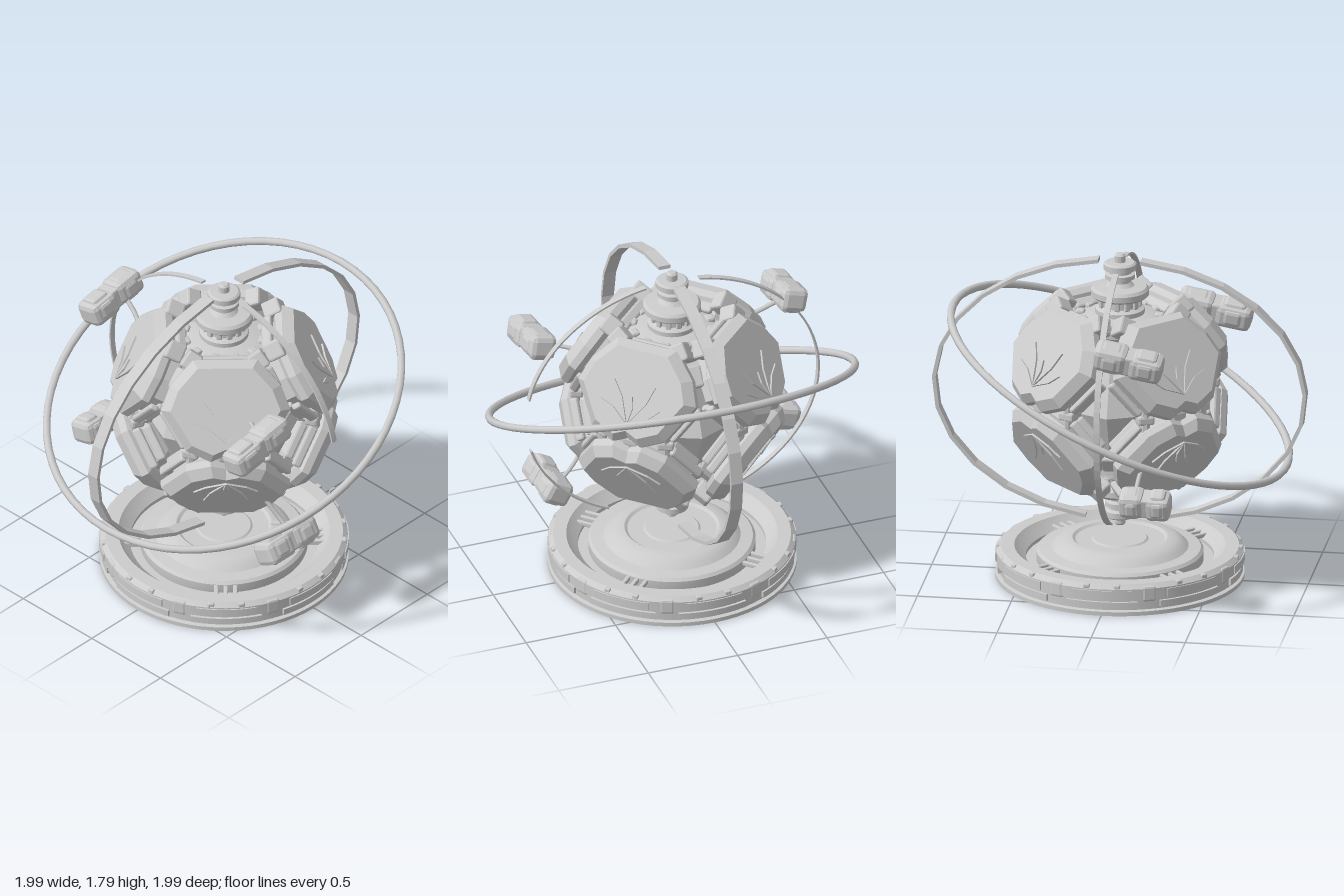
import * as THREE from 'three';
import { toCreasedNormals } from 'three/addons/utils/BufferGeometryUtils.js';
import { RoundedBoxGeometry } from 'three/addons/geometries/RoundedBoxGeometry.js';

const smooth = new THREE.MeshStandardMaterial({ color: 0xcccccc });
const faceted = new THREE.MeshStandardMaterial({ color: 0xcccccc, flatShading: true });
const rad = THREE.MathUtils.degToRad;
const CENTRE = 1.035;

function add(parent, name, geometry, pos = [0, 0, 0], rot = [0, 0, 0], material = faceted) {
  const mesh = new THREE.Mesh(geometry, material);
  mesh.name = name;
  mesh.position.set(...pos);
  mesh.rotation.set(...rot);
  parent.add(mesh);
  return mesh;
}

function group(parent, name, pos = [0, 0, 0], rot = [0, 0, 0]) {
  const g = new THREE.Group();
  g.name = name;
  g.position.set(...pos);
  g.rotation.set(...rot, 'YXZ');
  parent.add(g);
  return g;
}

const box = (x, y, z, r = 0.012) => new RoundedBoxGeometry(x, y, z, 1, r);

const lathe = (points, segments = 48) => toCreasedNormals(
  new THREE.LatheGeometry(points.map(p => new THREE.Vector2(...p)), segments), 0.5);

// Solid elliptical arc in the XY plane, centred in depth
function arcSolid(rx, ry, thick, a0, a1, depth, segments) {
  const s = new THREE.Shape();
  s.absellipse(0, 0, rx, ry, rad(a0), rad(a1), false);
  s.absellipse(0, 0, rx - thick, ry - thick, rad(a1), rad(a0), true);
  const g = new THREE.ExtrudeGeometry(s, { depth, bevelEnabled: false, curveSegments: segments });
  return g.translate(0, 0, -depth / 2);
}

// Closed solid through scaled copies of an outline, each layer [scale, z]
function loft(outline, layers) {
  const pos = [], idx = [], n = outline.length;
  for (const [s, z] of layers) for (const [x, y] of outline) pos.push(x * s, y * s, z);
  for (let l = 0; l < layers.length - 1; l++)
    for (let i = 0; i < n; i++) {
      const a = l * n + i, b = l * n + (i + 1) % n;
      idx.push(a, b, b + n, a, b + n, a + n);
    }
  const back = pos.length / 3, front = back + 1;
  pos.push(0, 0, layers[0][1], 0, 0, layers[layers.length - 1][1]);
  for (let i = 0; i < n; i++) {
    const j = (i + 1) % n, t = (layers.length - 1) * n;
    idx.push(back, j, i, front, t + i, t + j);
  }
  const g = new THREE.BufferGeometry();
  g.setAttribute('position', new THREE.Float32BufferAttribute(pos, 3));
  g.setIndex(idx);
  const flat = g.toNonIndexed();
  flat.computeVertexNormals();
  return flat;
}

// Armour plate facing local +z, its lower edge towards the equator
function buildPlate(parent, azimuth) {
  const p = group(parent, 'armourPlate', [0, 0, 0], [-rad(30), azimuth, 0]);
  const half = [[0, -0.24], [0.08, -0.275], [0.21, -0.215], [0.34, 0.0], [0.29, 0.13], [0.17, 0.265]];
  const outline = [...half, ...half.slice(1).reverse().map(([x, y]) => [-x, y])];
  add(p, 'plateShell', loft(outline, [[0.9, 0.44], [1, 0.465], [1, 0.505], [0.85, 0.555]]));
  add(p, 'plateBacking', loft(outline, [[0.62, 0.34], [0.8, 0.37], [0.8, 0.44]]));
  // Leaf-like relief fanning out from the equator edge
  for (const [angle, length] of [[0, 0.15], [28, 0.25], [-28, 0.25], [58, 0.2], [-58, 0.2]]) {
    const s = new THREE.Shape([[0, 0], [0.016, length * 0.6], [0, length], [-0.016, length * 0.6]]
      .map(v => new THREE.Vector2(...v)));
    add(p, 'reliefVein', new THREE.ExtrudeGeometry(s, { depth: 0.012, bevelEnabled: false }),
      [0, -0.17, 0.553], [0, 0, rad(angle)]);
  }
  // Brackets and side rails around the plate
  add(p, 'poleRail', box(0.26, 0.04, 0.06), [0, 0.255, 0.41]);
  for (const s of [-1, 1]) {
    add(p, 'cornerClaw', box(0.09, 0.1, 0.1), [s * 0.175, 0.255, 0.455], [0, 0, s * 0.6]);
    add(p, 'sideRail', box(0.035, 0.23, 0.05), [s * 0.275, -0.11, 0.42], [0, 0, -s * 0.54]);
    add(p, 'innerRail', box(0.035, 0.2, 0.05), [s * 0.245, -0.1, 0.37], [0, 0, -s * 0.54]);
    add(p, 'strut', new THREE.CylinderGeometry(0.022, 0.022, 0.22, 8), [s * 0.16, 0.1, 0.33], [Math.PI / 2, 0, 0]);
  }
}

// Half of the globe: four plates and a pole stack
function buildHemisphere(parent, name, flip) {
  const h = group(parent, name, [0, 0, 0], [flip, 0, 0]);
  for (let i = 0; i < 4; i++) buildPlate(h, Math.PI / 4 + i * Math.PI / 2);
  add(h, 'poleStack', lathe([[0, 0.25], [0.2, 0.3], [0.25, 0.36], [0.25, 0.4], [0.19, 0.42], [0.13, 0.43],
    [0.13, 0.455], [0.1, 0.47], [0.1, 0.51], [0.14, 0.518], [0.153, 0.53], [0.153, 0.56], [0.14, 0.575],
    [0.075, 0.58], [0.055, 0.6], [0.055, 0.615], [0.08, 0.622], [0.08, 0.645], [0.06, 0.65], [0.06, 0.662],
    [0.086, 0.67], [0.086, 0.7], [0.075, 0.708], [0.03, 0.71], [0.03, 0.745], [0.02, 0.755], [0, 0.755]]),
    [0, 0, 0], [0, 0, 0], smooth);
  for (let i = 0; i < 12; i++) {
    const tooth = group(h, 'collarTooth', [0, 0, 0], [0, i * Math.PI / 6, 0]);
    add(tooth, 'tooth', box(0.055, 0.04, 0.05), [0, 0.415, 0.21]);
    add(tooth, 'smallTooth', box(0.03, 0.05, 0.03, 0.006), [0, 0.49, 0.1]);
  }
}

function buildCore(parent) {
  const core = group(parent, 'core');
  add(core, 'coreBody', new THREE.IcosahedronGeometry(0.36, 1));
  for (let i = 0; i < 4; i++) {
    const side = group(core, 'coreSide', [0, 0, 0], [0, i * Math.PI / 2, 0]);
    add(side, 'diamondFace', new THREE.ConeGeometry(0.27, 0.12, 4), [0, -0.01, 0.4], [Math.PI / 2, 0, 0]);
    for (const s of [-1, 1]) add(side, 'uprightRib', box(0.09, 0.12, 0.1), [0, s * 0.28, 0.31], [-s * 0.7, 0, 0]);
  }
  // Equator joints linking upper and lower plates
  for (const base of [0, 90, 180, 270]) for (const off of [24, 45, 66]) {
    const joint = group(core, 'equatorJoint', [0, 0, 0], [0, rad(base + off), 0]);
    add(joint, 'jointBlock', box(0.09, 0.05, 0.07), [0, 0, 0.5]);
    add(joint, 'jointPin', new THREE.CylinderGeometry(0.025, 0.025, 0.13, 8), [0, 0, 0.51]);
    add(joint, 'jointArm', new THREE.CylinderGeometry(0.025, 0.04, 0.18, 8), [0, 0, 0.41], [Math.PI / 2, 0, 0]);
  }
}

function buildOrbits(parent) {
  const o = group(parent, 'orbits');
  add(o, 'tiltedRing', new THREE.TorusGeometry(0.972, 0.021, 8, 64), [0, 0.02, 0],
    [Math.PI / 2 + rad(24.2), 0, 0], smooth);
  // Wide bands front and back, thin wires at the sides
  add(o, 'frontBand', arcSolid(0.995, 0.73, 0.02, -79.5, 83.5, 0.066, 6), [0, 0, 0], [0, -Math.PI / 2, 0]);
  add(o, 'backBand', arcSolid(0.995, 0.73, 0.02, 96.5, 259.5, 0.066, 6), [0, 0, 0], [0, -Math.PI / 2, 0]);
  for (const [name, a0, a1] of [['leftUpperWire', 11, 79.5], ['leftLowerWire', -64, -15], ['rightWire', 100.5, 244]])
    add(o, name, arcSolid(0.822, 0.705, 0.01, a0, a1, 0.032, 16));
}

// Segmented pod with rounded casings, lying along z
function buildPod(parent, name, x, y, z, length, pitch, roll) {
  const pod = group(parent, name, [x, y, z], [pitch, 0, roll]);
  const seg = length / 2;
  for (const s of [-1, 1]) {
    add(pod, 'casing', box(0.145, 0.13, seg * 0.94, 0.03), [0, s * -0.006, s * seg / 2]);
    add(pod, 'casingBand', box(0.16, 0.09, seg * 0.5, 0.02), [0, 0, s * seg / 2]);
    add(pod, 'topCap', box(0.1, 0.15, seg * 0.6, 0.02), [0, 0, s * seg / 2]);
  }
  add(pod, 'waist', box(0.12, 0.11, 0.08, 0.01));
  // Arm curving from the pod back to the globe
  const side = Math.sign(x), up = Math.sign(y);
  const path = new THREE.QuadraticBezierCurve3(new THREE.Vector3(x, y, z - 0.05),
    new THREE.Vector3(x - side * 0.1, y - up * 0.02, z - 0.08), new THREE.Vector3(side * 0.36, up * 0.21, 0.2));
  add(parent, name + 'Arm', new THREE.TubeGeometry(path, 10, 0.013, 6), [0, 0, 0], [0, 0, 0], smooth);
}

function buildBase(parent) {
  const base = group(parent, 'base');
  add(base, 'outerRing', lathe([[0.495, 0], [0.655, 0], [0.655, 0.022], [0.632, 0.026], [0.632, 0.08], [0.65, 0.086],
    [0.65, 0.145], [0.625, 0.168], [0.555, 0.168], [0.535, 0.145], [0.495, 0.11], [0.495, 0]], 64),
    [0, 0, 0], [0, 0, 0], smooth);
  add(base, 'centreDisc', lathe([[0, 0.01], [0.43, 0.01], [0.44, 0.03], [0.44, 0.14], [0.425, 0.155], [0.36, 0.162],
    [0.335, 0.185], [0.3, 0.207], [0.25, 0.211], [0.235, 0.2], [0.15, 0.2], [0.14, 0.208], [0, 0.208]], 64),
    [0, 0, 0], [0, 0, 0], smooth);
  add(base, 'troughFloor', new THREE.CylinderGeometry(0.5, 0.5, 0.02, 48), [0, 0.08, 0]);
  for (let i = 0; i < 8; i++) {
    const s = group(base, 'baseSegment', [0, 0, 0], [0, i * Math.PI / 4, 0]);
    // Outer facing, rim plate, notches and clamps
    add(s, 'sidePanel', arcSolid(0.646, 0.646, 0.03, -107, -73, 0.036, 8), [0, 0.054, 0], [-Math.PI / 2, 0, 0]);
    add(s, 'rimPlate', arcSolid(0.656, 0.656, 0.05, -104, -76, 0.045, 8), [0, 0.115, 0], [-Math.PI / 2, 0, 0]);
    for (const k of [-1, 1])
      add(s, 'notchBlock', box(0.035, 0.025, 0.035, 0.006), [k * 0.08, 0.155, 0.625]);
    const c = group(s, 'clamp', [0, 0, 0], [0, Math.PI / 8, 0]);
    add(c, 'clampBlock', box(0.075, 0.085, 0.06), [0, 0.115, 0.622]);
  }
  // Strut clusters bridging the trough on the diagonals
  for (let i = 0; i < 4; i++) {
    const t = group(base, 'troughStruts', [0, 0, 0], [0, Math.PI / 4 + i * Math.PI / 2, 0]);
    for (const dz of [-0.05, 0, 0.05]) {
      add(t, 'troughStrut', box(0.13, 0.025, 0.022, 0.005), [0.48, 0.125, dz]);
      add(t, 'underStrut', box(0.1, 0.02, 0.022, 0.005), [0.465, 0.03, dz]);
    }
  }
}

export function createModel() {
  const model = new THREE.Group();
  model.name = 'floatingGlobe';
  buildBase(model);
  const globe = group(model, 'globe', [0, CENTRE, 0]);
  buildCore(globe);
  buildHemisphere(globe, 'upperHemisphere', 0);
  buildHemisphere(globe, 'lowerHemisphere', Math.PI);
  buildOrbits(globe);
  buildPod(globe, 'leftUpperPod', 0.635, 0.245, 0.41, 0.41, 0.17, 0.2);
  buildPod(globe, 'leftLowerPod', 0.63, -0.505, 0.18, 0.38, 0, 0.5);
  buildPod(globe, 'rightUpperPod', -0.68, 0.4, 0.15, 0.38, 0.17, 0.25);
  buildPod(globe, 'rightLowerPod', -0.69, -0.385, 0.24, 0.28, 0, 0.25);
  return model;
}
